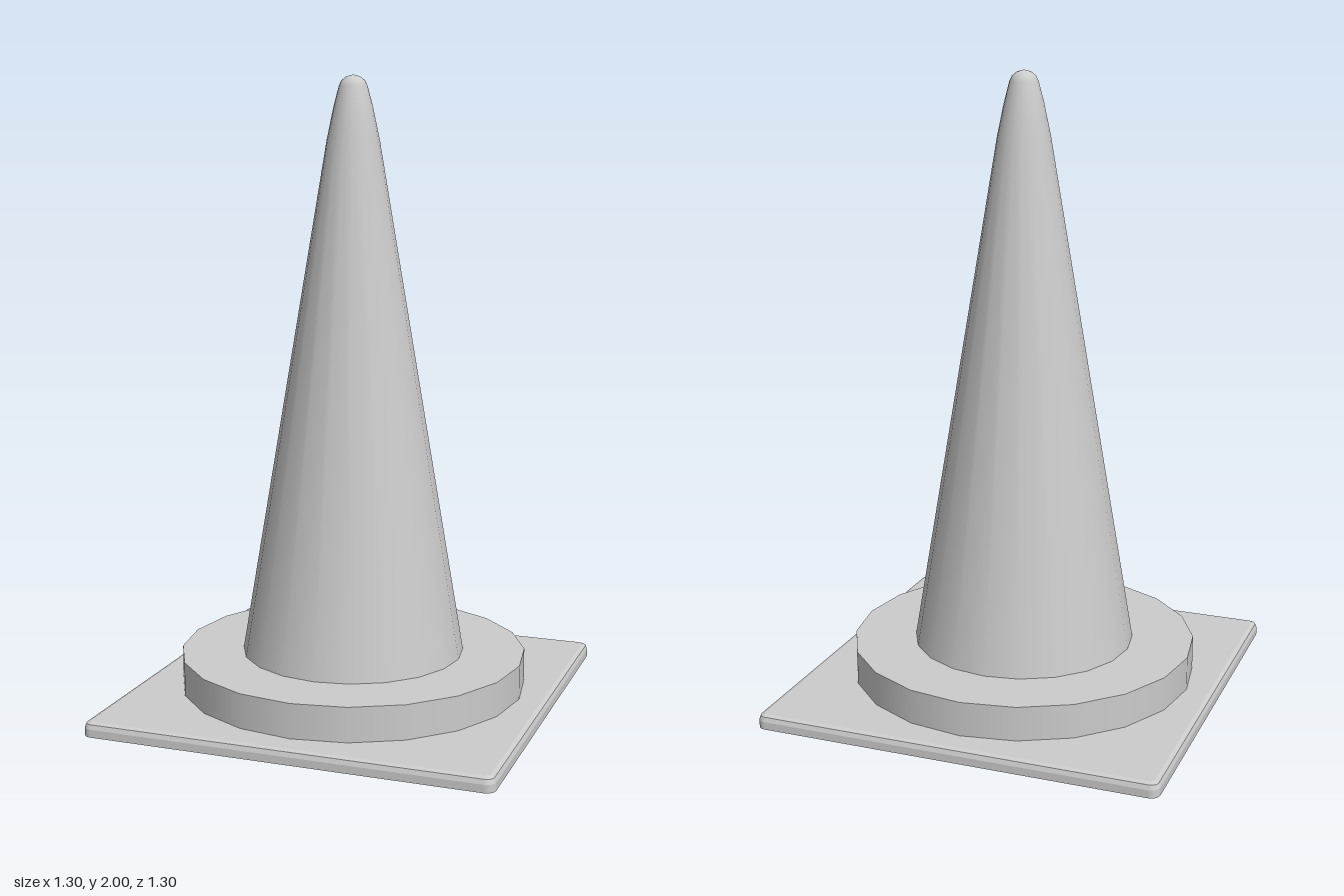
import * as THREE from 'three';

const SIDES = 20;

// Square outline with rounded corners, centred on the origin
function roundedSquare(half, radius) {
  const shape = new THREE.Shape();
  const c = half - radius;
  [[c, c], [-c, c], [-c, -c], [c, -c]].forEach(([x, y], i) => {
    shape.absarc(x, y, radius, i * Math.PI / 2, (i + 1) * Math.PI / 2, false);
  });
  shape.closePath();
  return shape;
}

export function createModel() {
  const group = new THREE.Group();
  const material = new THREE.MeshStandardMaterial({ color: 0xcccccc });
  const add = (name, geometry) => {
    const mesh = new THREE.Mesh(geometry, material);
    mesh.name = name;
    group.add(mesh);
    return mesh;
  };

  // Base plate: bevelled top rim, lower bevel flattened onto the ground
  const plate = new THREE.ExtrudeGeometry(roundedSquare(0.632, 0.012), {
    depth: 0.025, curveSegments: 4,
    bevelEnabled: true, bevelThickness: 0.02, bevelSize: 0.018, bevelSegments: 2,
  });
  plate.rotateX(-Math.PI / 2);
  const pos = plate.attributes.position;
  for (let i = 0; i < pos.count; i++) pos.setY(i, Math.max(0, pos.getY(i)));
  plate.computeVertexNormals();
  add('basePlate', plate);

  // Round collar on the plate
  add('collar', new THREE.CylinderGeometry(0.56, 0.56, 0.115, SIDES)).position.y = 0.0975;

  // Tapered body with a small domed tip
  const profile = [
    [0.36, 0.15], [0.083, 1.8], [0.062, 1.9], [0.045, 1.965],
    [0.037, 1.982], [0.022, 1.994], [0, 2],
  ].map(([r, y]) => new THREE.Vector2(r, y));
  add('coneBody', new THREE.LatheGeometry(profile, SIDES));

  return group;
}
